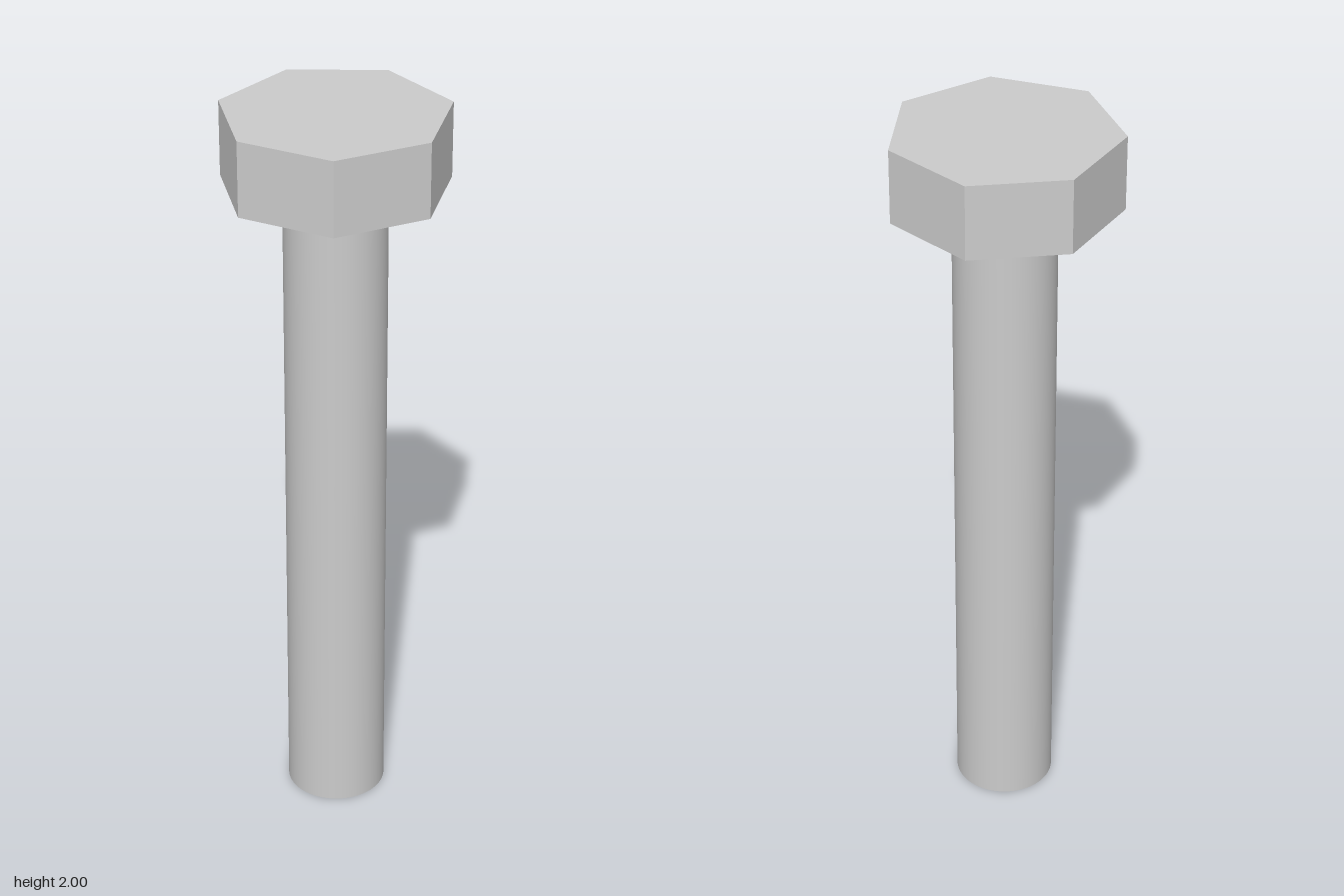
import * as THREE from 'three';

export function createModel() {
  const group = new THREE.Group();
  const axisX = -0.015; // the seven-sided head is centred by its bounds, so the axis sits off x = 0
  const headHeight = 0.2, shaftHeight = 1.8;

  const addPart = (name, geometry, y, flatShading) => {
    const material = new THREE.MeshStandardMaterial({ color: 0xcccccc, flatShading });
    const mesh = new THREE.Mesh(geometry, material);
    mesh.name = name;
    mesh.position.set(axisX, y, 0);
    group.add(mesh);
  };

  // Smooth round shaft
  addPart('shaft', new THREE.CylinderGeometry(0.133, 0.133, shaftHeight, 64), shaftHeight / 2, false);

  // Seven-sided head with one corner pointing to +x
  addPart('head', new THREE.CylinderGeometry(0.298, 0.298, headHeight, 7, 1, false, Math.PI / 2),
    shaftHeight + headHeight / 2, true);

  return group;
}
